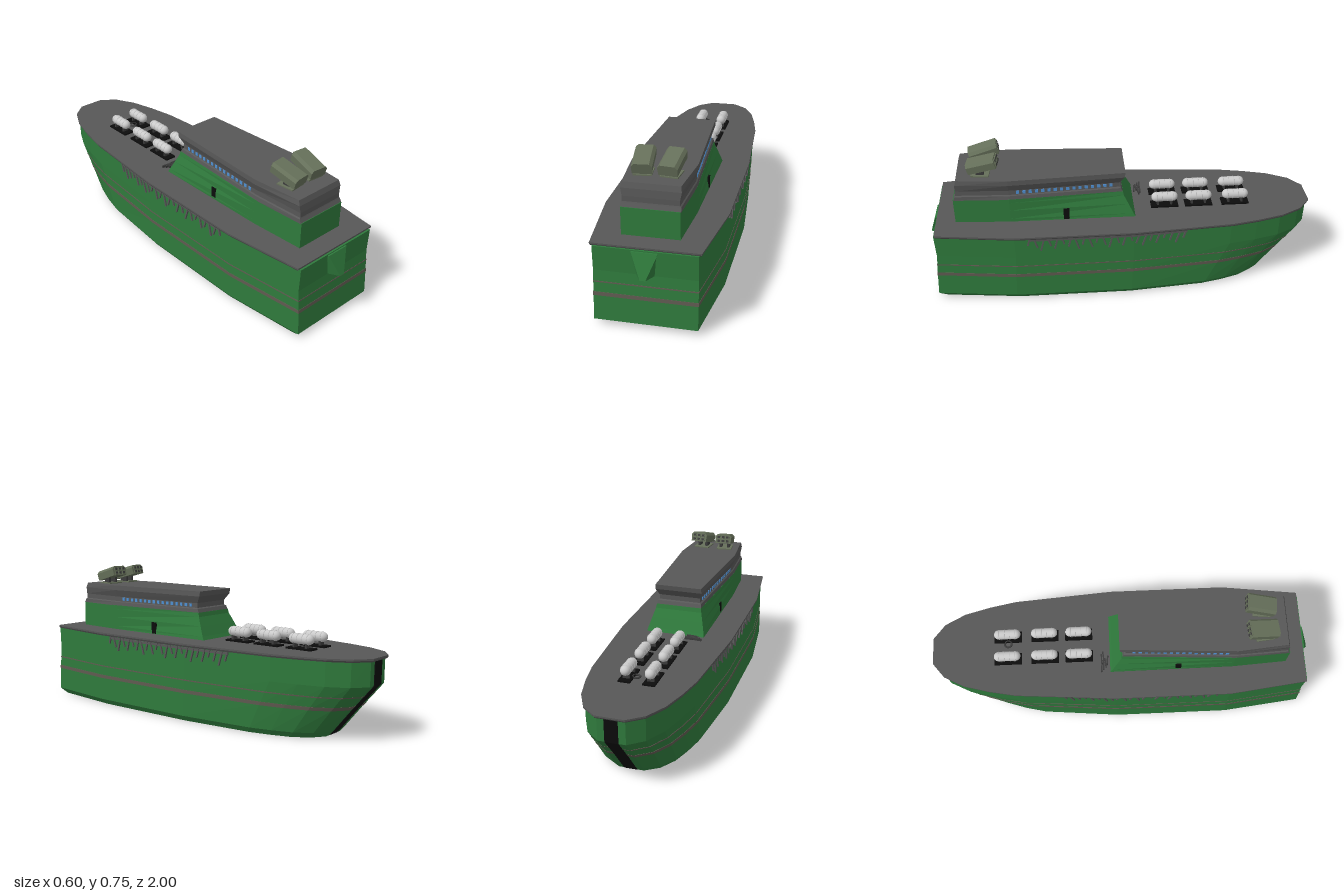
import * as THREE from 'three';

const mat = (color) => new THREE.MeshStandardMaterial({ color, flatShading: true });
const green = mat(0x2f7a3c), grey = mat(0x575757), darkGrey = mat(0x3c3c3c), black = mat(0x0c0c0c);
const band = mat(0x5f5a50), olive = mat(0x66705a), blue = mat(0x4f8fd0);
const white = new THREE.MeshStandardMaterial({ color: 0xc4c4c4 });

// Half outline of the deck, stern to bow: [half width, z]
const deckLine = [[0.25, 0.95], [0.3, 0.55], [0.3, -0.05], [0.262, -0.56], [0.235, -0.7],
  [0.2, -0.83], [0.145, -0.935], [0.07, -0.995]];
// Hull levels: y, bow z, stern z, width scale
const levels = [[0, -0.75, 0.925, 0.885], [0.028, -0.775, 0.968, 0.95], [0.15, -0.875, 0.96, 0.95],
  [0.27, -0.978, 0.95, 0.95], [0.39, -0.98, 0.955, 0.95]];

function widthAt(line, z) {
  for (let i = 1; i < line.length; i++) {
    const [a, b] = [line[i - 1], line[i]];
    if (z <= a[1] && z >= b[1]) return a[0] + (b[0] - a[0]) * (a[1] - z) / (a[1] - b[1]);
  }
  return 0;
}

// Mirrors a half outline into a closed ring at height y
function ring(line, y) {
  const right = line.map(([w, z]) => new THREE.Vector3(w, y, z));
  const left = line.map(([w, z]) => new THREE.Vector3(-w, y, z)).reverse();
  return [...right, ...left];
}

// Closed solid through a stack of rings, bottom to top
function loft(rings) {
  const pos = [], n = rings[0].length;
  const tri = (...p) => p.forEach((v) => pos.push(v.x, v.y, v.z));
  const centre = (r) => r.reduce((s, v) => s.add(v), new THREE.Vector3()).divideScalar(n);
  const bottom = rings[0], top = rings[rings.length - 1];
  const cb = centre(bottom), ct = centre(top);
  for (let j = 0; j < n; j++) {
    const k = (j + 1) % n;
    for (let i = 0; i < rings.length - 1; i++) {
      const lo = rings[i], up = rings[i + 1];
      tri(lo[j], lo[k], up[k]);
      tri(lo[j], up[k], up[j]);
    }
    tri(cb, bottom[k], bottom[j]);
    tri(ct, top[j], top[k]);
  }
  const g = new THREE.BufferGeometry();
  g.setAttribute('position', new THREE.Float32BufferAttribute(pos, 3));
  g.computeVertexNormals();
  return g;
}

function levelAt(y) {
  const i = Math.max(1, levels.findIndex((l) => l[0] >= y));
  const a = levels[i - 1], b = levels[i], t = (y - a[0]) / (b[0] - a[0]);
  return a.map((v, k) => v + (b[k] - v) * t);
}

function hullRing(y, grow = 0) {
  const [, bow, stern, s] = levelAt(y);
  return ring(deckLine.map(([w, z]) => [w * s + grow,
    z > 0 ? z * (stern + grow) / 0.95 : z * (bow - grow) / -0.995]), y);
}

export function createModel() {
  const ship = new THREE.Group();
  ship.name = 'ship';
  const add = (name, geo, material, x = 0, y = 0, z = 0, parent = ship) => {
    const m = new THREE.Mesh(geo, material);
    m.name = name;
    m.position.set(x, y, z);
    parent.add(m);
    return m;
  };
  const box = (name, w, h, d, material, x, y, z, parent) =>
    add(name, new THREE.BoxGeometry(w, h, d), material, x, y, z, parent);

  // Hull, painted bands and deck
  add('hull', loft(levels.map((l) => hullRing(l[0]))), green);
  add('wideBand', loft([0.147, 0.165].map((y) => hullRing(y, 0.0015))), band);
  add('thinBand', loft([0.212, 0.218].map((y) => hullRing(y, 0.0015))), band);
  const deckSide = deckLine.map(([w, z]) => [w * 0.985, z * 0.993]);
  add('deck', loft([ring(deckSide, 0.387), ring(deckLine, 0.395), ring(deckLine, 0.403)]), grey);

  // Black strip down the stem
  const stem = levels.map(([y, bow]) => ring([[0.032, bow + 0.03], [0.032, bow - 0.004]], y + 0.001));
  add('stemStrip', loft(stem.map((r, i) => (i === 4 ? r.map((v) => v.setY(0.388)) : r))), black);

  // Wedge on the stern
  add('sternWedge', loft([
    ring([[0.047, 0.94], [0.047, 0.953], [0.047, 0.94]].map((p, i) => (i === 1 ? [0.013, 1] : p)).slice(0, 2).reverse(), 0.27),
    ring([[0.06, 0.962], [0.061, 0.94]], 0.385),
  ]), green);

  // Lower deckhouse with a raked front
  const house = [[0.403, 0.155, -0.068], [0.42, 0.151, -0.058], [0.47, 0.137, -0.033], [0.515, 0.124, -0.01], [0.537, 0.12, -0.005]];
  add('deckhouse', loft(house.map(([y, w, z]) =>
    ring([[0.135, 0.85], [0.152, 0.57], [w, z]], y))), green);

  // Bridge: pinched at the windows, flared at the roof
  const waist = [[0.13, 0.836], [0.143, 0.57], [0.11, 0.012]];
  add('bridge', loft([
    ring([[0.137, 0.848], [0.152, 0.57], [0.12, -0.005]], 0.535),
    ring([[0.136, 0.838], [0.148, 0.57], [0.117, 0.004]], 0.555),
    ring(waist, 0.56),
    ring(waist, 0.585),
    ring([[0.137, 0.833], [0.157, 0.57], [0.125, -0.014]], 0.622),
    ring([[0.133, 0.824], [0.156, 0.57], [0.123, -0.018]], 0.648),
  ]), grey);

  for (const side of [1, -1]) {
    // Windows and door
    for (let i = 0; i < 16; i++) {
      const z = 0.055 + i * 0.0313;
      box('window', 0.005, 0.017, 0.016, blue, side * widthAt(waist, z), 0.573, z);
    }
    box('door', 0.008, 0.062, 0.03, black, side * 0.149, 0.434, 0.285);

    // Slanted hangers below the deck edge
    for (let i = 0; i < 24; i++) {
      const z = 0.48 - i * 0.0343, len = 0.04 + 0.035 * ((i * 7) % 5) / 4;
      const bar = box('hanger', 0.01, len, 0.008, grey,
        side * (widthAt(deckLine, z) * 0.95 + 0.003), 0.388 - len / 2, z);
      bar.rotation.x = i < 16 ? (i % 2 ? 0.3 : -0.25) : -0.3;
    }
    for (const [z0, z1] of [[0.48, -0.05], [-0.05, -0.32]]) {
      const w0 = widthAt(deckLine, z0) * 0.95, w1 = widthAt(deckLine, z1) * 0.95;
      const rail = box('hangerRail', 0.006, 0.012, Math.hypot(z0 - z1, w0 - w1), grey,
        side * ((w0 + w1) / 2 + 0.002), 0.378, (z0 + z1) / 2);
      rail.rotation.y = side * Math.atan2(w0 - w1, z0 - z1);
    }

    // Capsule tanks on black cradles
    for (const z of [-0.6, -0.407, -0.228]) {
      const tank = new THREE.Group();
      tank.name = 'tank';
      tank.position.set(side > 0 ? 0.058 : -0.063, 0, z);
      ship.add(tank);
      box('cradlePlate', 0.06, 0.008, 0.143, black, 0, 0.407, 0, tank);
      for (const dz of [-0.035, 0.035])
        box('cradleLeg', 0.034, 0.025, 0.01, darkGrey, 0, 0.42, dz, tank);
      add('tankBody', new THREE.CapsuleGeometry(0.025, 0.088, 6, 14), white, 0, 0.453, 0, tank).rotation.x = Math.PI / 2;
      for (const dz of [-0.042, -0.014, 0.014, 0.042])
        add('tankRing', new THREE.TorusGeometry(0.025, 0.002, 5, 14), white, 0, 0.453, dz, tank);
    }

    // Tilted launcher on the roof
    const launcher = new THREE.Group();
    launcher.name = 'launcher';
    launcher.position.set(side * 0.065, 0.648, 0.695);
    launcher.rotation.y = -side * 0.1;
    ship.add(launcher);
    box('launcherPlate', 0.085, 0.006, 0.09, olive, 0, 0.003, 0.01, launcher);
    for (const x of [-0.022, 0.022])
      box('launcherMount', 0.014, 0.034, 0.04, darkGrey, x, 0.02, 0.01, launcher);
    const pod = new THREE.Group();
    pod.name = 'pod';
    pod.position.y = 0.057;
    pod.rotation.x = 0.26;
    launcher.add(pod);
    const s = new THREE.Shape([[-0.044, -0.026], [0.044, -0.026], [0.047, 0.012], [0.034, 0.026], [-0.034, 0.026], [-0.047, 0.012]]
      .map(([x, y]) => new THREE.Vector2(x, y)));
    add('podBody', new THREE.ExtrudeGeometry(s, { depth: 0.146, bevelEnabled: false }), olive, 0, 0, -0.073, pod);
    for (let c = -1; c <= 1; c++)
      for (const y of [-0.012, 0.01]) {
        box('podCell', 0.021, 0.018, 0.006, olive, c * 0.025, y, -0.075, pod);
        box('podCellMouth', 0.014, 0.012, 0.002, darkGrey, c * 0.025, y, -0.0785, pod);
      }
  }

  // Small gear stacked on the foredeck
  for (let i = 0; i < 6; i++) {
    const b = box('deckGear', 0.05, 0.012, 0.007, darkGrey, -0.13 + i * 0.012, 0.409, -0.112 + (i % 4) * 0.01);
    b.rotation.y = 0.1 * ((i % 3) - 1);
  }
  add('deckCoil', new THREE.TorusGeometry(0.018, 0.005, 6, 14), darkGrey, 0.02, 0.407, -0.6).rotation.x = Math.PI / 2;
  return ship;
}
